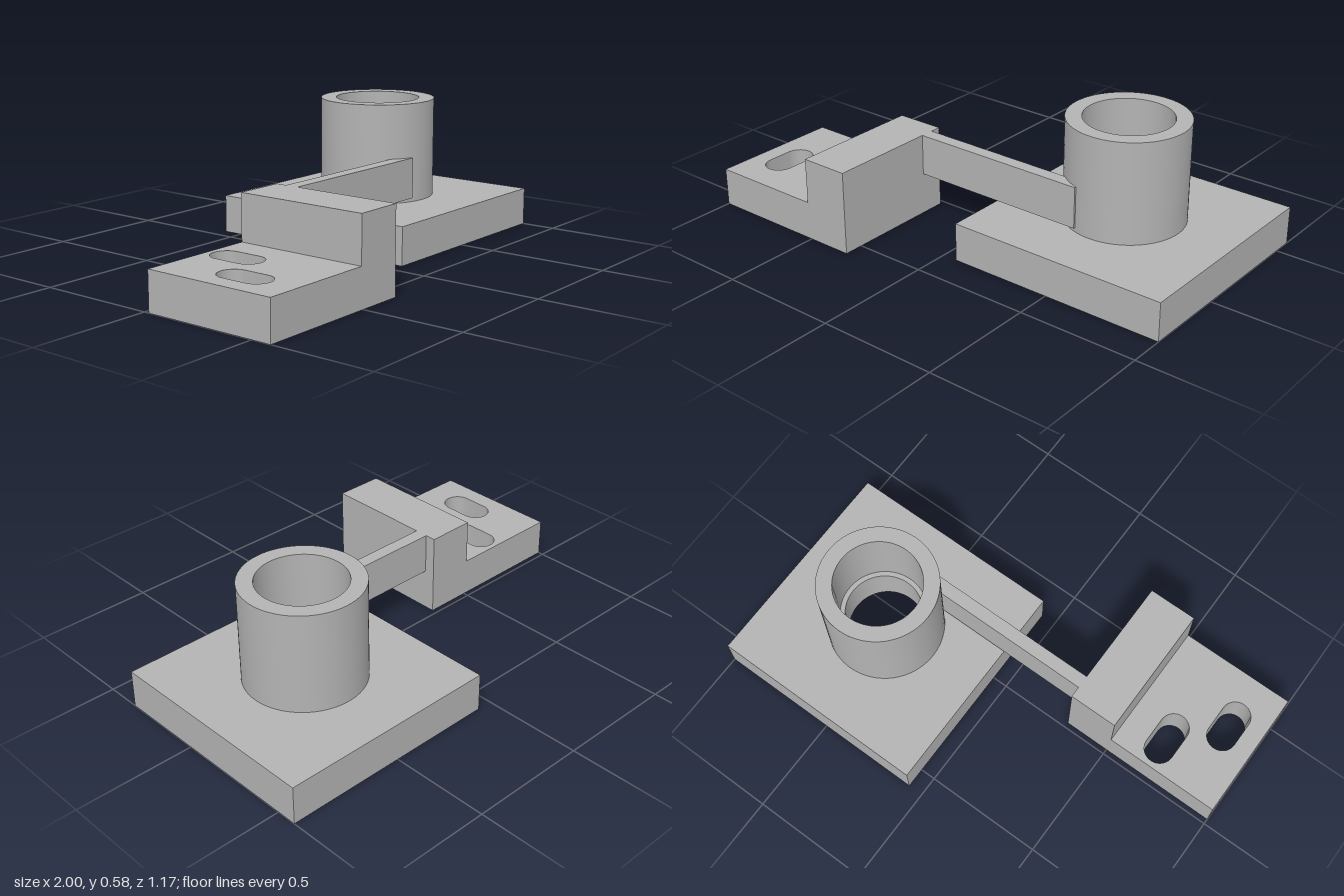
import * as THREE from 'three';
import { toCreasedNormals } from 'three/addons/utils/BufferGeometryUtils.js';

const grey = new THREE.MeshStandardMaterial({ color: 0xb3b3b3 });
grey.name = 'plain grey';

// Upright slab from an outline drawn in plan (shape y is -z), between two heights
function slab(name, outline, holes, y0, y1) {
  outline.holes.push(...holes);
  const geo = new THREE.ExtrudeGeometry(outline, { depth: y1 - y0, bevelEnabled: false, curveSegments: 48 });
  geo.rotateX(-Math.PI / 2);
  geo.translate(0, y0, 0);
  const mesh = new THREE.Mesh(toCreasedNormals(geo, 0.5), grey);
  mesh.name = name;
  return mesh;
}

function rect(x0, x1, z0, z1) {
  return new THREE.Shape([[x0, -z1], [x1, -z1], [x1, -z0], [x0, -z0]].map(p => new THREE.Vector2(...p)));
}

const square = half => rect(-half, half, -half, half);

function circle(radius) {
  return new THREE.Shape().absarc(0, 0, radius, 0, Math.PI * 2, false);
}

// Slot with round ends, running along z
function slot(x, z0, z1, r) {
  const s = new THREE.Shape();
  s.absarc(x, -z0 - r, r, 0, Math.PI, false);
  s.absarc(x, -z1 + r, r, Math.PI, Math.PI * 2, false);
  s.closePath();
  return s;
}

export function createModel() {
  const model = new THREE.Group();
  model.name = 'bracketAssembly';

  // Square base with a stepped recess underneath, carrying a counterbored tube
  const socket = new THREE.Group();
  socket.name = 'socketBase';
  socket.position.set(0.532, 0, -0.116);
  socket.add(
    slab('baseRim', square(0.468), [square(0.42)], 0, 0.0625),
    slab('baseLedge', square(0.468), [square(0.37)], 0.0625, 0.125),
    slab('baseFloor', square(0.468), [circle(0.158)], 0.125, 0.16),
    slab('tubeLower', circle(0.243), [circle(0.158)], 0.16, 0.29),
    slab('tubeUpper', circle(0.243), [circle(0.178)], 0.29, 0.58),
  );
  model.add(socket);

  // Mounting foot with two staggered slots and a taller block at its inner end
  const foot = new THREE.Group();
  foot.name = 'mountingFoot';
  foot.add(
    slab('slottedPlate', rect(-1, -0.51, 0.022, 0.583),
      [slot(-0.862, 0.238, 0.465, 0.061), slot(-0.688, 0.045, 0.275, 0.061)], 0, 0.16),
    slab('riserBlock', rect(-0.51, -0.305, 0.022, 0.583), [], 0, 0.35),
  );
  model.add(foot);

  // Thin arm joining the block to the tube
  model.add(slab('arm', rect(-0.305, 0.46, 0.068, 0.124), [], 0.177, 0.35));
  return model;
}
